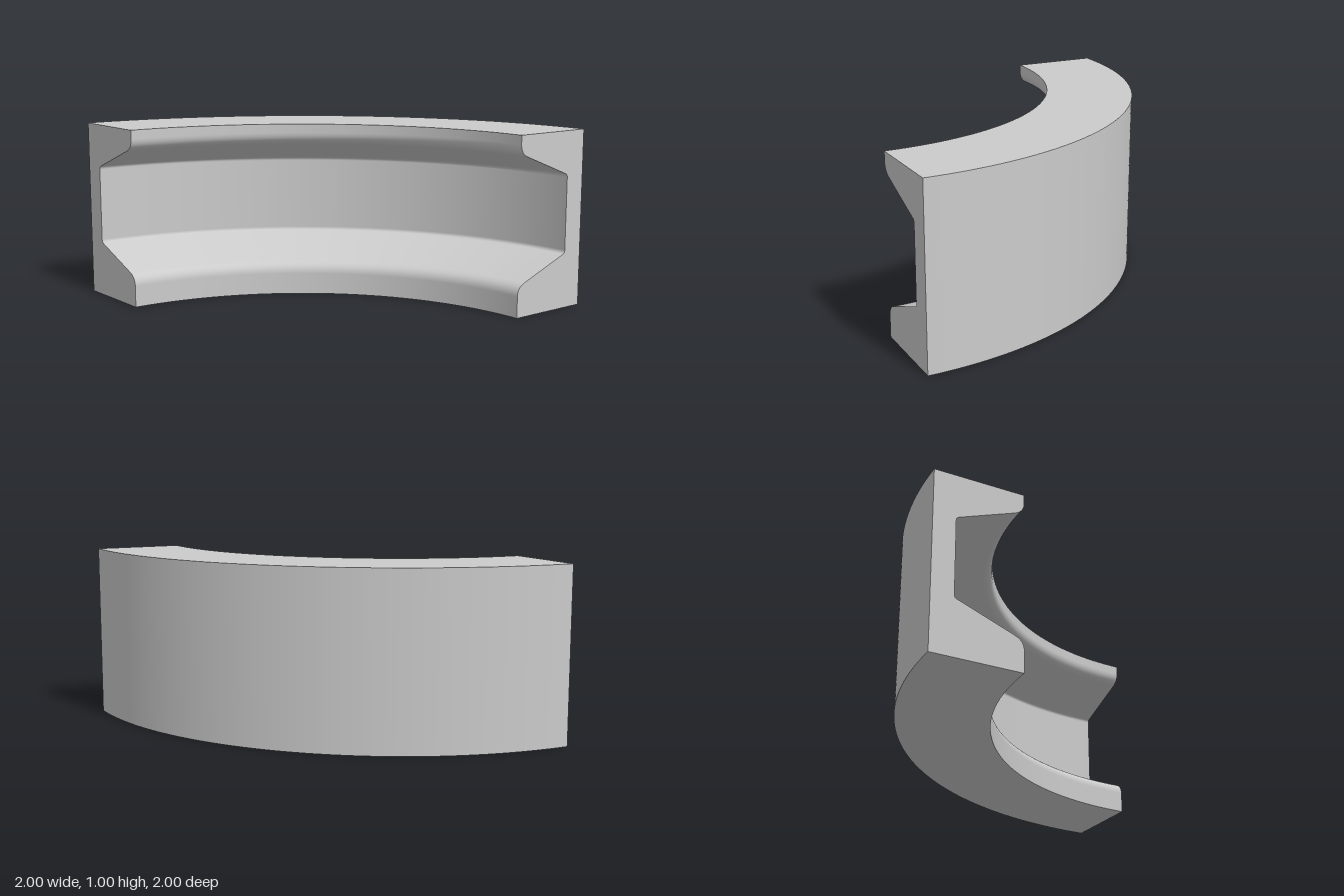
import * as THREE from 'three';

const OUTER = 2, BORE = 1.5, WEB = 1.875, HEIGHT = 1, MID = 0.535;
const SEGMENTS = 96;

// Inner channel outline (radius, height), running from the top lip down to the bottom lip
function channelProfile() {
  const upper = new THREE.Path();
  upper.moveTo(BORE, 0.95);
  upper.quadraticCurveTo(BORE, 0.9, 1.55, 0.88); // rounded lip
  upper.lineTo(1.86, 0.762); // sloping flank
  upper.quadraticCurveTo(WEB, 0.756, WEB, 0.74); // small root fillet
  const half = upper.getPoints(10);
  const mirrored = half.map(p => new THREE.Vector2(p.x, 2 * MID - p.y)).reverse();
  return [new THREE.Vector2(BORE, HEIGHT), ...half, ...mirrored, new THREE.Vector2(BORE, 0)];
}

export function createModel() {
  const group = new THREE.Group();
  group.name = 'quarterChannelRing';
  const material = new THREE.MeshStandardMaterial({ color: 0xcccccc });
  const add = (name, geometry) => {
    geometry.translate(-1, 0, 1); // ring axis sits at the front left corner
    const mesh = new THREE.Mesh(geometry, material);
    mesh.name = name;
    group.add(mesh);
  };

  const channel = channelProfile();
  const innerBottom = new THREE.Vector2(BORE, 0), outerBottom = new THREE.Vector2(OUTER, 0);
  const innerTop = new THREE.Vector2(BORE, HEIGHT), outerTop = new THREE.Vector2(OUTER, HEIGHT);

  // Swept faces, kept separate so the rims stay sharp
  const faces = {
    bottomFace: [innerBottom, outerBottom],
    outerWall: [outerBottom, outerTop],
    topFace: [outerTop, innerTop],
    innerChannel: channel,
  };
  for (const [name, points] of Object.entries(faces)) {
    add(name, new THREE.LatheGeometry(points, SEGMENTS, Math.PI / 2, Math.PI / 2));
  }

  // Flat cut ends showing the section
  const section = [outerBottom, outerTop, ...channel];
  add('frontEnd', new THREE.ShapeGeometry(new THREE.Shape(section)));
  const flipped = section.map(p => new THREE.Vector2(-p.x, p.y));
  add('sideEnd', new THREE.ShapeGeometry(new THREE.Shape(flipped)).rotateY(-Math.PI / 2));

  return group;
}
